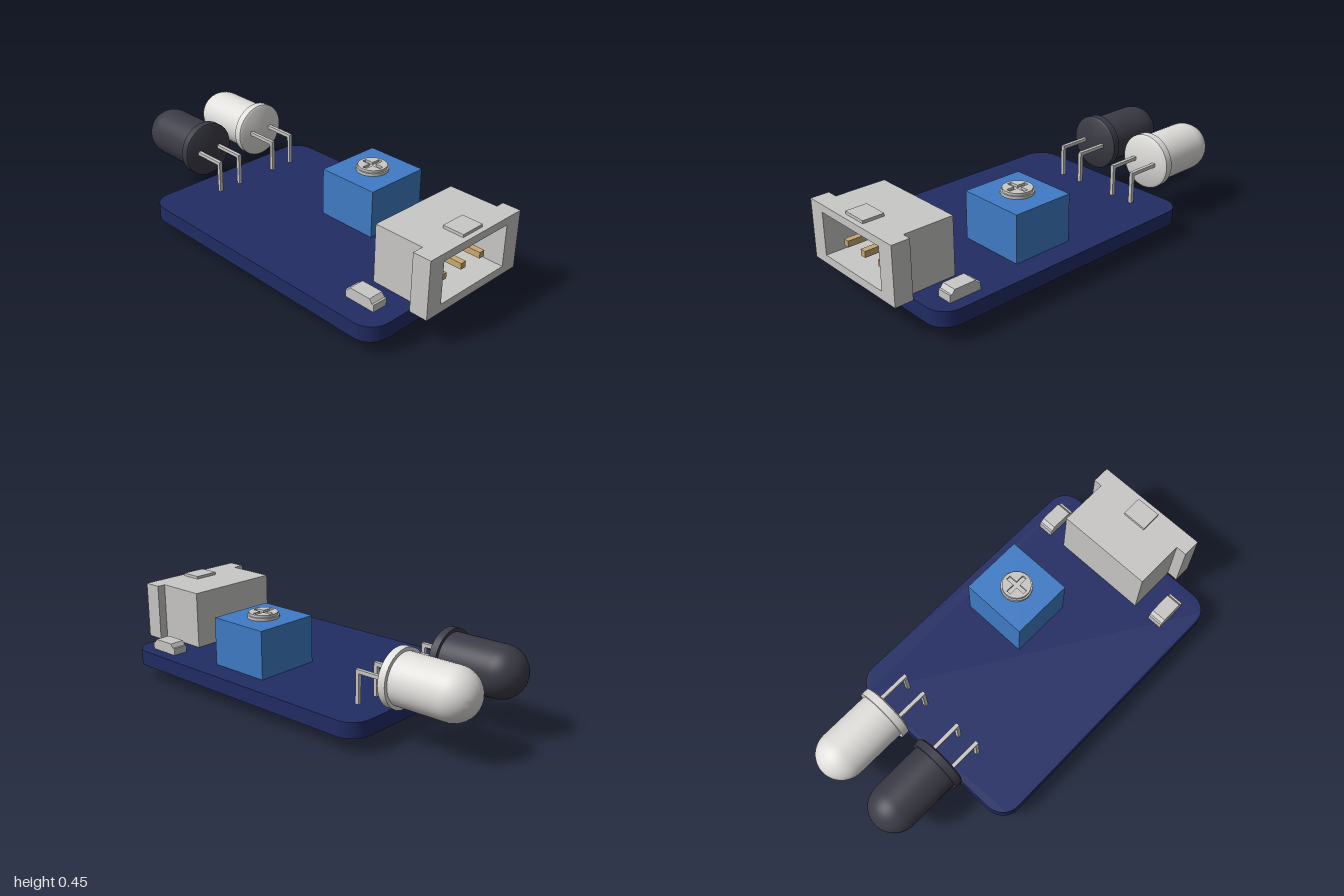
import * as THREE from 'three';
import { toCreasedNormals } from 'three/addons/utils/BufferGeometryUtils.js';

const mat = (name, color) => new THREE.MeshStandardMaterial({ name, color });

// Rectangle path given by its edges
function rect(path, x0, x1, y0, y1) {
  path.moveTo(x0, y0);
  path.lineTo(x1, y0);
  path.lineTo(x1, y1);
  path.lineTo(x0, y1);
  path.closePath();
  return path;
}

export function createModel() {
  const model = new THREE.Group();
  model.name = 'sensorBoard';
  const navy = mat('boardNavy', 0x212c64);
  const blue = mat('trimmerBlue', 0x407cc6);
  const grey = mat('plasticGrey', 0xc9c8c6);
  const dark = mat('darkPlastic', 0x3b3b46);
  const gold = mat('gold', 0xc9a972);
  const pale = mat('clearWhite', 0xe0dfdc);

  const add = (name, geometry, material, parent = model) => {
    const mesh = new THREE.Mesh(geometry, material);
    mesh.name = name;
    parent.add(mesh);
    return mesh;
  };
  // Box given by its min and max on each axis
  const box = (name, material, x0, x1, y0, y1, z0, z1, parent) => {
    const g = new THREE.BoxGeometry(x1 - x0, y1 - y0, z1 - z0);
    g.translate((x0 + x1) / 2, (y0 + y1) / 2, (z0 + z1) / 2);
    return add(name, g, material, parent);
  };

  // Circuit board with rounded corners
  const X0 = -0.575, X1 = 0.9, Z = 0.49, R = 0.1;
  const outline = new THREE.Shape();
  outline.absarc(X1 - R, Z - R, R, 0, Math.PI / 2);
  outline.absarc(X0 + R, Z - R, R, Math.PI / 2, Math.PI);
  outline.absarc(X0 + R, -Z + R, R, Math.PI, Math.PI * 1.5);
  outline.absarc(X1 - R, -Z + R, R, Math.PI * 1.5, Math.PI * 2);
  const boardGeo = new THREE.ExtrudeGeometry(outline, { depth: 0.075, bevelEnabled: false, curveSegments: 10 });
  boardGeo.rotateX(-Math.PI / 2).translate(0, 0.075, 0);
  add('board', toCreasedNormals(boardGeo, 0.5), navy);

  // Emitter and receiver diodes lying on their sides, with bent leads
  const profile = [[0, 0], [0.125, 0], [0.1375, 0.008], [0.1375, 0.045], [0.121, 0.045], [0.121, 0.294]]
    .map(([r, y]) => new THREE.Vector2(r, y));
  for (let i = 1; i <= 12; i++) {
    const a = (i / 12) * Math.PI / 2;
    profile.push(new THREE.Vector2(i === 12 ? 0 : 0.121 * Math.cos(a), 0.294 + 0.121 * Math.sin(a)));
  }
  const diodeGeo = toCreasedNormals(new THREE.LatheGeometry(profile, 40), 0.6);
  diodeGeo.rotateZ(Math.PI / 2);
  for (const [name, z, material] of [['clearDiode', -0.233, pale], ['darkDiode', 0.112, dark]]) {
    const diode = new THREE.Group();
    diode.name = name;
    diode.position.z = z;
    model.add(diode);
    add('lens', diodeGeo, material, diode).position.set(-0.585, 0.3, 0);
    for (const s of [-0.061, 0.061]) {
      box('leadAcross', grey, -0.59, -0.417, 0.292, 0.31, s - 0.009, s + 0.009, diode);
      box('leadDown', grey, -0.435, -0.417, 0.145, 0.292, s - 0.009, s + 0.009, diode);
    }
  }

  // Trimmer with a cross-slotted adjusting screw
  box('trimmerBody', blue, 0.085, 0.4, 0.15, 0.385, -0.375, -0.04);
  const head = new THREE.Shape().absarc(0, 0, 0.07, 0, Math.PI * 2);
  const w = 0.011, l = 0.055;
  head.holes.push(new THREE.Path([
    [w, w], [w, l], [-w, l], [-w, w], [-l, w], [-l, -w],
    [-w, -w], [-w, -l], [w, -l], [w, -w], [l, -w], [l, w], [w, w],
  ].map(([x, y]) => new THREE.Vector2(x, y))));
  const headGeo = new THREE.ExtrudeGeometry(head, { depth: 0.018, bevelEnabled: false, curveSegments: 16 });
  headGeo.rotateX(-Math.PI / 2);
  add('screwHead', toCreasedNormals(headGeo, 0.5), grey).position.set(0.242, 0.393, -0.208);
  add('screwBase', new THREE.CylinderGeometry(0.077, 0.077, 0.016, 32), grey).position.set(0.242, 0.391, -0.208);

  // Connector: hollow shell, wider rim, back wall, top key and pins
  const shell = (name, a, b, x0, x1) => {
    const s = rect(new THREE.Shape(), a, b, 0.15, 0.432);
    s.holes.push(rect(new THREE.Path(), -0.185, 0.225, 0.19, 0.395));
    const g = new THREE.ExtrudeGeometry(s, { depth: x1 - x0, bevelEnabled: false });
    g.rotateY(Math.PI / 2).translate(x0, 0, 0);
    add(name, g, grey);
  };
  shell('connectorShell', -0.215, 0.27, 0.72, 0.905);
  shell('connectorRim', -0.27, 0.313, 0.905, 0.995);
  box('connectorBack', grey, 0.655, 0.72, 0.15, 0.432, -0.27, 0.215);
  box('connectorKey', grey, 0.865, 0.97, 0.43, 0.446, -0.085, 0.04);
  for (const z of [-0.145, -0.02, 0.105]) box('connectorPin', gold, 0.71, 0.94, 0.245, 0.275, z - 0.015, z + 0.015);

  // Small indicator lamps with tapered lenses either side of the connector
  for (const z of [-0.393, 0.343]) {
    box('lampBase', grey, 0.65, 0.81, 0.15, 0.185, z - 0.038, z + 0.038);
    const lens = new THREE.Shape([[0.66, 0.185], [0.8, 0.185], [0.785, 0.204], [0.675, 0.204]]
      .map(([x, y]) => new THREE.Vector2(x, y)));
    const g = new THREE.ExtrudeGeometry(lens, { depth: 0.076, bevelEnabled: false });
    add('lampLens', g.translate(0, 0, z - 0.038), grey);
  }

  // Chip under the board with four legs on each side
  box('chipBody', dark, 0.14, 0.38, 0, 0.076, 0.053, 0.241);
  for (let i = 0; i < 4; i++) {
    const z = 0.053 + i * 0.063;
    for (const x of [0.095, 0.375]) box('chipLeg', grey, x, x + 0.05, 0.053, 0.062, z - 0.009, z + 0.009);
  }

  // Small resistors and capacitors under the board
  const parts = [
    [gold, 0.55, 0.098], [dark, 0.55, -0.145],
    [gold, -0.128, 0.175], [dark, -0.128, 0.05], [dark, -0.128, -0.071], [dark, -0.128, -0.193],
  ];
  for (const [material, x, z] of parts) {
    box(material === gold ? 'capacitor' : 'resistor', material, x - 0.048, x + 0.048, 0.051, 0.076, z - 0.031, z + 0.031);
  }
  return model;
}
